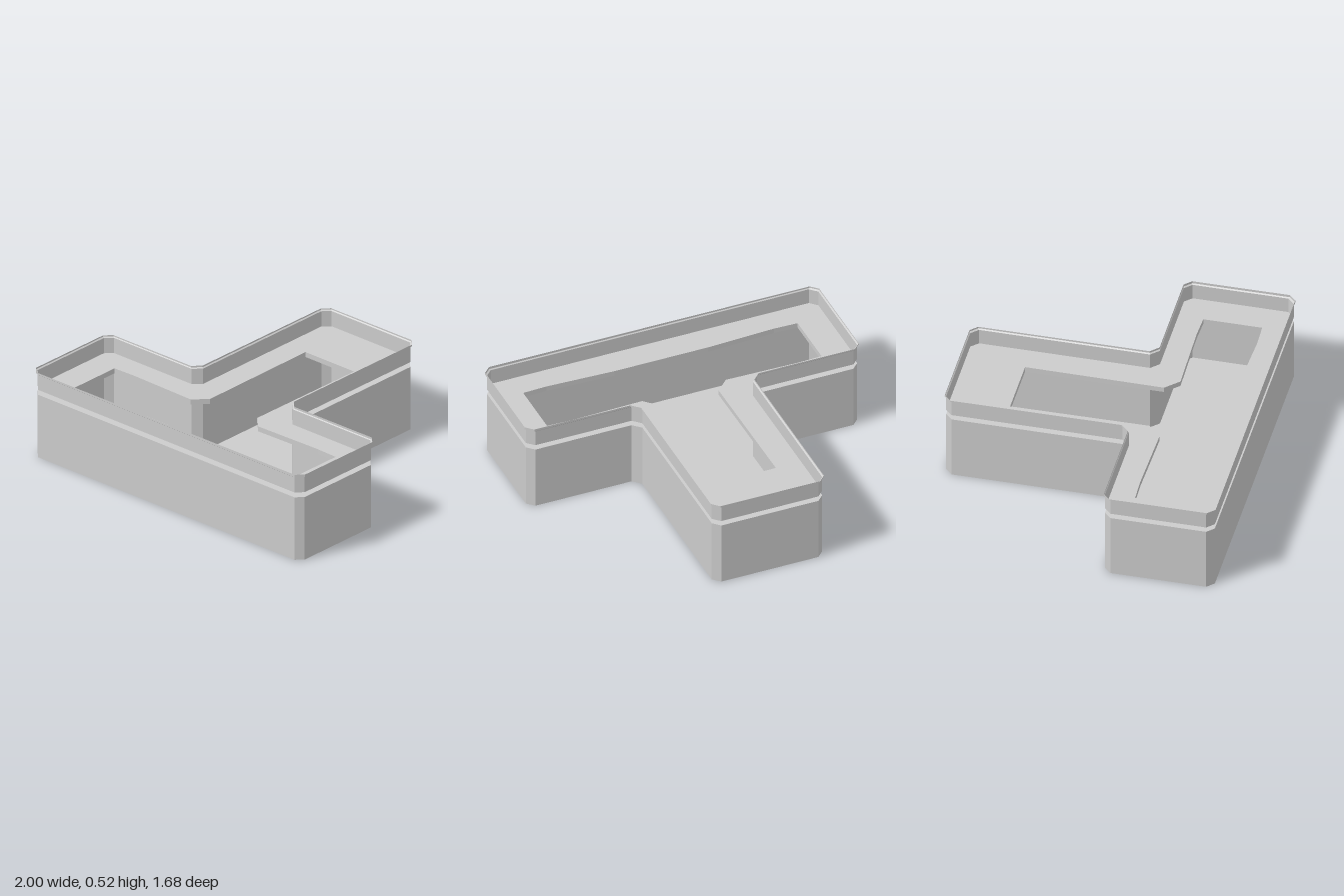
import * as THREE from 'three';

const material = new THREE.MeshStandardMaterial({
  color: 0xcccccc, flatShading: true, side: THREE.DoubleSide,
});

// Right half of the T outline as [x, z], from front to back, with chamfered corners
const outerHalf = [
  [0.95, 0.835], [0.99, 0.795], [0.99, 0.255], [0.95, 0.215],
  [0.375, 0.215], [0.33, 0.17], [0.33, -0.795], [0.29, -0.835],
];
// Right half of the narrower opening
const innerHalf = [
  [0.28, 0.675], [0.68, 0.692], [0.82, 0.687], [0.82, 0.355], [0.68, 0.35],
  [0.25, 0.36], [0.175, 0.285], [0.18, -0.5],
];

const mirrored = (half) => [...half, ...half.map(([x, z]) => [-x, z]).reverse()];
const outer = mirrored(outerHalf);
const inner = mirrored(innerHalf);
// Rim outline, pushed out a little along every side
const rim = mirrored(outerHalf.map(([x, z]) => [x + 0.008, z < 0.5 && z > -0.5 ? z - 0.004 : z + Math.sign(z) * 0.006]));

const toPoints = (outline) => outline.map(([x, z]) => new THREE.Vector2(x, -z));

// Horizontal sheet with an optional opening
function sheet(name, outline, y, hole) {
  const shape = new THREE.Shape(toPoints(outline));
  if (hole) shape.holes.push(new THREE.Path(toPoints(hole)));
  const geometry = new THREE.ShapeGeometry(shape).rotateX(-Math.PI / 2).translate(0, y, 0);
  const mesh = new THREE.Mesh(geometry, material);
  mesh.name = name;
  return mesh;
}

// Closed band of quads joining two outlines; heights may be functions of x and z
function band(name, low, yLow, high, yHigh) {
  const at = ([x, z], y) => [x, typeof y === 'function' ? y(x, z) : y, z];
  const positions = [];
  low.forEach((p, i) => {
    const j = (i + 1) % low.length;
    const a = at(p, yLow), b = at(low[j], yLow);
    const c = at(high[j], yHigh), d = at(high[i], yHigh);
    positions.push(...a, ...b, ...c, ...a, ...c, ...d);
  });
  const geometry = new THREE.BufferGeometry();
  geometry.setAttribute('position', new THREE.Float32BufferAttribute(positions, 3));
  geometry.computeVertexNormals();
  const mesh = new THREE.Mesh(geometry, material);
  mesh.name = name;
  return mesh;
}

export function createModel() {
  const group = new THREE.Group();
  group.name = 'tShapedBasin';
  const rimTop = (x, z) => 0.52 + 0.003 * x + 0.002 * z;

  group.add(
    // Lower tank
    sheet('floor', outer, 0),
    band('lowerWall', outer, 0, outer, 0.382),
    // Groove between tank and upper tray
    sheet('lowerLedge', outer, 0.382, inner),
    band('neck', inner, 0.382, inner, 0.412),
    sheet('upperLedge', outer, 0.412, inner),
    // Upper tray with a slightly flared rim
    band('upperWall', outer, 0.412, outer, 0.505),
    band('rimFlare', outer, 0.505, rim, 0.51),
    band('rim', rim, 0.51, rim, rimTop),
  );
  return group;
}
